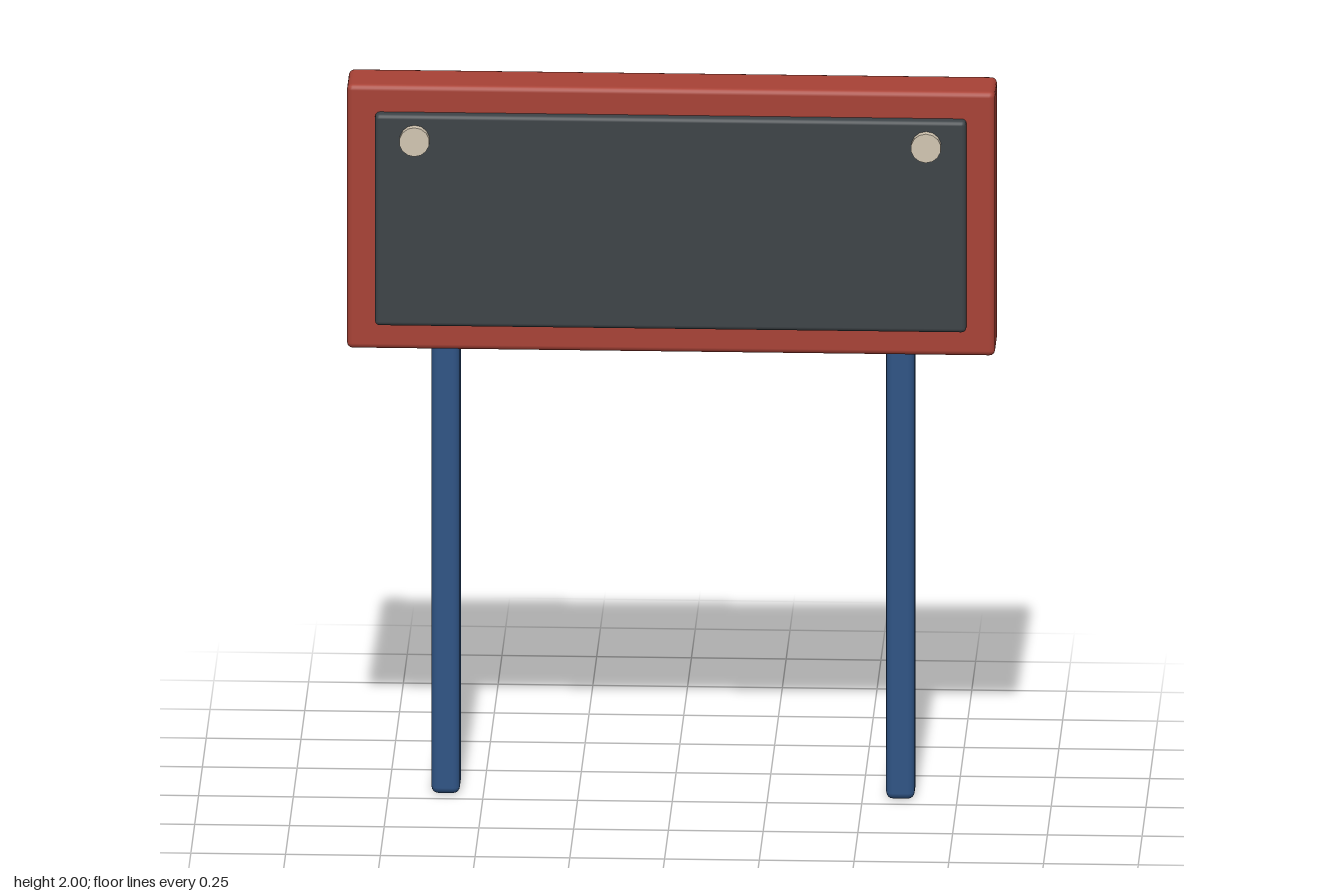
import * as THREE from 'three';
import { RoundedBoxGeometry } from 'three/addons/geometries/RoundedBoxGeometry.js';

export function createModel() {
  const material = (name, color) => {
    const m = new THREE.MeshStandardMaterial({ color });
    m.name = name;
    return m;
  };
  const red = material('red', 0xa84236);
  const blue = material('blue', 0x2f5485);
  const slate = material('slate', 0x3d4347);
  const cream = material('cream', 0xd2c6b2);

  const group = new THREE.Group();
  group.name = 'signBoard';
  const add = (name, geometry, mat, x, y, z) => {
    const mesh = new THREE.Mesh(geometry, mat);
    mesh.name = name;
    mesh.position.set(x, y, z);
    group.add(mesh);
    return mesh;
  };

  // Board and the dark panel on its front
  add('board', new RoundedBoxGeometry(1.71, 0.73, 0.15, 2, 0.015), red, 0, 1.635, 0.015);
  add('panel', new RoundedBoxGeometry(1.56, 0.585, 0.04, 2, 0.012), slate, 0, 1.635, 0.098);

  // Posts behind the board and studs in the panel's upper corners
  for (const [side, s] of [['left', 1], ['right', -1]]) {
    add(side + 'Post', new RoundedBoxGeometry(0.075, 1.89, 0.105, 2, 0.018), blue, s * 0.6, 0.945, -0.0875);
    const stud = add(side + 'Stud', new THREE.CylinderGeometry(0.04, 0.04, 0.03, 14), cream, s * 0.675, 1.86, 0.125);
    stud.rotation.x = Math.PI / 2;
  }
  return group;
}
